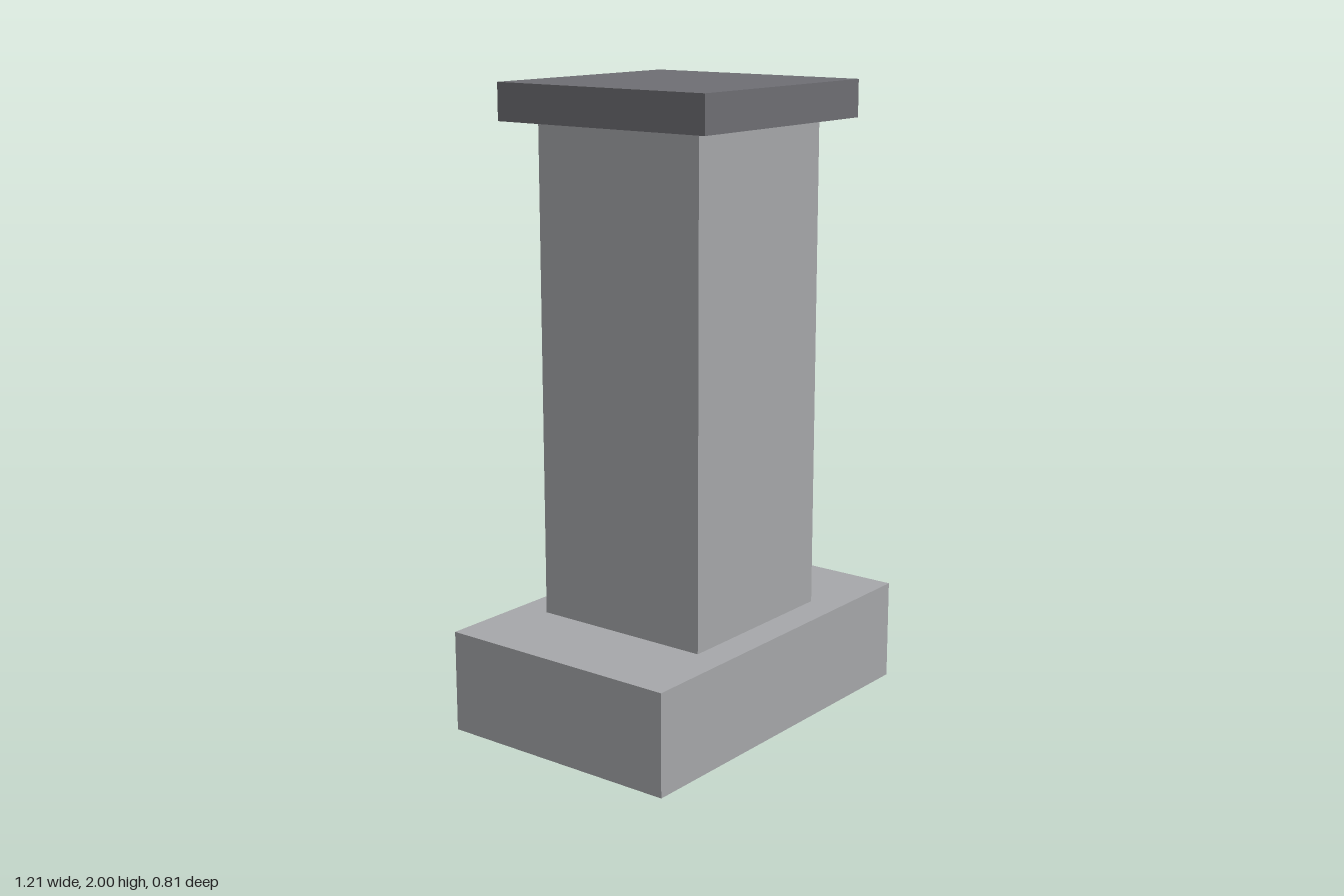
import * as THREE from 'three';

export function createModel() {
  const group = new THREE.Group();
  const stone = new THREE.MeshStandardMaterial({ color: 0xa6a7aa });
  stone.name = 'light grey';
  const dark = new THREE.MeshStandardMaterial({ color: 0x6e6e73 });
  dark.name = 'dark grey';

  // Centred block spanning bottom to top
  function block(name, width, depth, bottom, top, material) {
    const mesh = new THREE.Mesh(new THREE.BoxGeometry(width, top - bottom, depth), material);
    mesh.name = name;
    mesh.position.y = (bottom + top) / 2;
    group.add(mesh);
  }

  block('footPlate', 0.81, 0.485, 0, 0.025, stone);
  block('base', 1.21, 0.806, 0.025, 0.345, stone);
  block('column', 0.6, 0.6, 0.345, 1.885, stone);
  block('cap', 0.768, 0.768, 1.885, 2, dark);

  return group;
}
